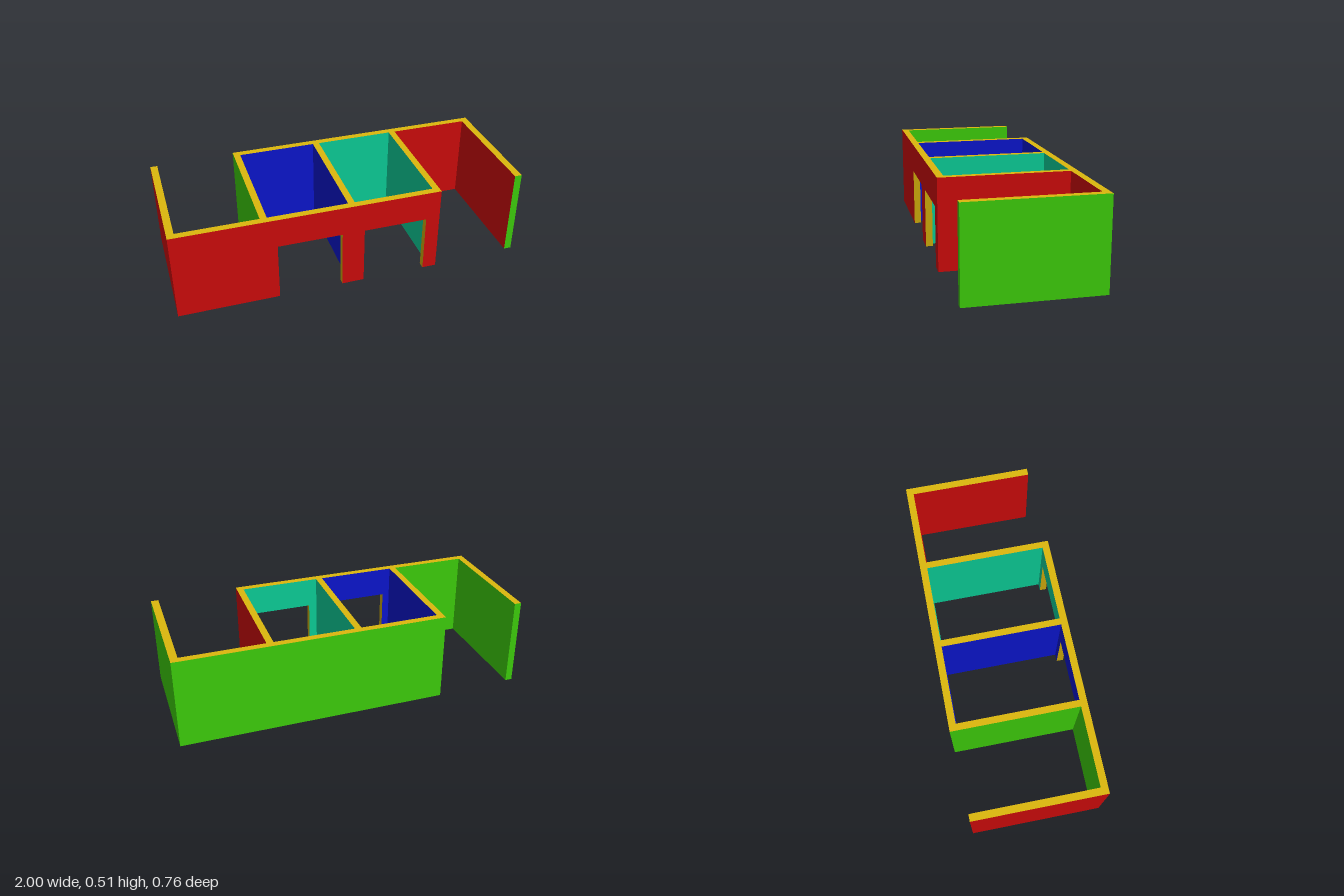
import * as THREE from 'three';

const H = 0.511, DOOR = 0.34;            // wall and door heights
const FRONT = [0.34, 0.38], BACK = [-0.38, -0.34]; // z ranges of the long walls
const colors = { R: 0xdd0d0d, G: 0x43dd0d, B: 0x0d18dd, T: 0x0ddda3, Y: 0xddb80d };
const mats = {};
for (const k in colors) mats[k] = new THREE.MeshStandardMaterial({ color: colors[k] });

// Box with one colour letter per face (+x -x +y -y +z -z); '-' leaves a hidden face out
function block(name, [x0, x1], [y0, y1], [z0, z1], faces) {
  const g = new THREE.BoxGeometry(x1 - x0, y1 - y0, z1 - z0);
  g.translate((x0 + x1) / 2, (y0 + y1) / 2, (z0 + z1) / 2);
  const old = Array.from(g.index.array), index = [], used = [];
  g.clearGroups();
  [...faces].forEach((c, i) => {
    if (c === '-') return;
    g.addGroup(index.length, 6, used.length);
    index.push(...old.slice(i * 6, i * 6 + 6));
    used.push(mats[c]);
  });
  g.setIndex(index);
  const mesh = new THREE.Mesh(g, used);
  mesh.name = name;
  return mesh;
}

export function createModel() {
  const model = new THREE.Group();
  model.name = 'floorPlanWalls';
  const full = [0, H];

  // Front wall: red outside, each stretch takes the colour of the room behind it
  const front = new THREE.Group();
  front.name = 'frontWall';
  const fx = [-1, -0.96, -0.515, -0.477, -0.435, -0.072, -0.03, 0.008, 0.055, 0.418, 0.46, 0.498];
  const inner = '-G-BBB-TTT-';
  const doors = [4, 8];
  for (let i = 0; i < inner.length; i++) {
    const door = doors.includes(i);
    const px = i === inner.length - 1 ? 'R' : doors.includes(i + 1) ? 'Y' : '-';
    const nx = i === 0 ? 'R' : doors.includes(i - 1) ? 'Y' : '-';
    front.add(block(door ? 'doorLintel' : 'frontWallSection', [fx[i], fx[i + 1]],
      door ? [DOOR, H] : full, FRONT, px + nx + 'YYR' + inner[i]));
  }
  model.add(front);

  // Back wall: green outside
  const back = new THREE.Group();
  back.name = 'backWall';
  const bx = [-0.515, -0.477, -0.03, 0.008, 0.46, 0.498, 0.958, 1];
  const roomSide = '-B-T-R-';
  for (let i = 0; i < roomSide.length; i++) {
    const px = i === roomSide.length - 1 ? 'G' : '-';
    const nx = i === 0 ? 'G' : '-';
    back.add(block('backWallSection', [bx[i], bx[i + 1]], full, BACK, px + nx + 'YY' + roomSide[i] + 'G'));
  }
  model.add(back);

  // Cross walls between the long walls
  const between = [BACK[1], FRONT[0]];
  model.add(
    block('blueRoomOuterWall', [-0.515, -0.477], full, between, 'BGYY--'),
    block('roomDivider', [-0.03, 0.008], full, between, 'TBYY--'),
    block('tealRoomOuterWall', [0.46, 0.498], full, between, 'RTYY--'),
    // Free-ended walls of the two open bays
    block('rightEndWall', [-1, -0.96], full, [-0.36, FRONT[0]], 'GRYY-G'),
    block('leftEndWall', [0.958, 1], full, [BACK[1], 0.36], 'GRYYG-')
  );
  return model;
}
